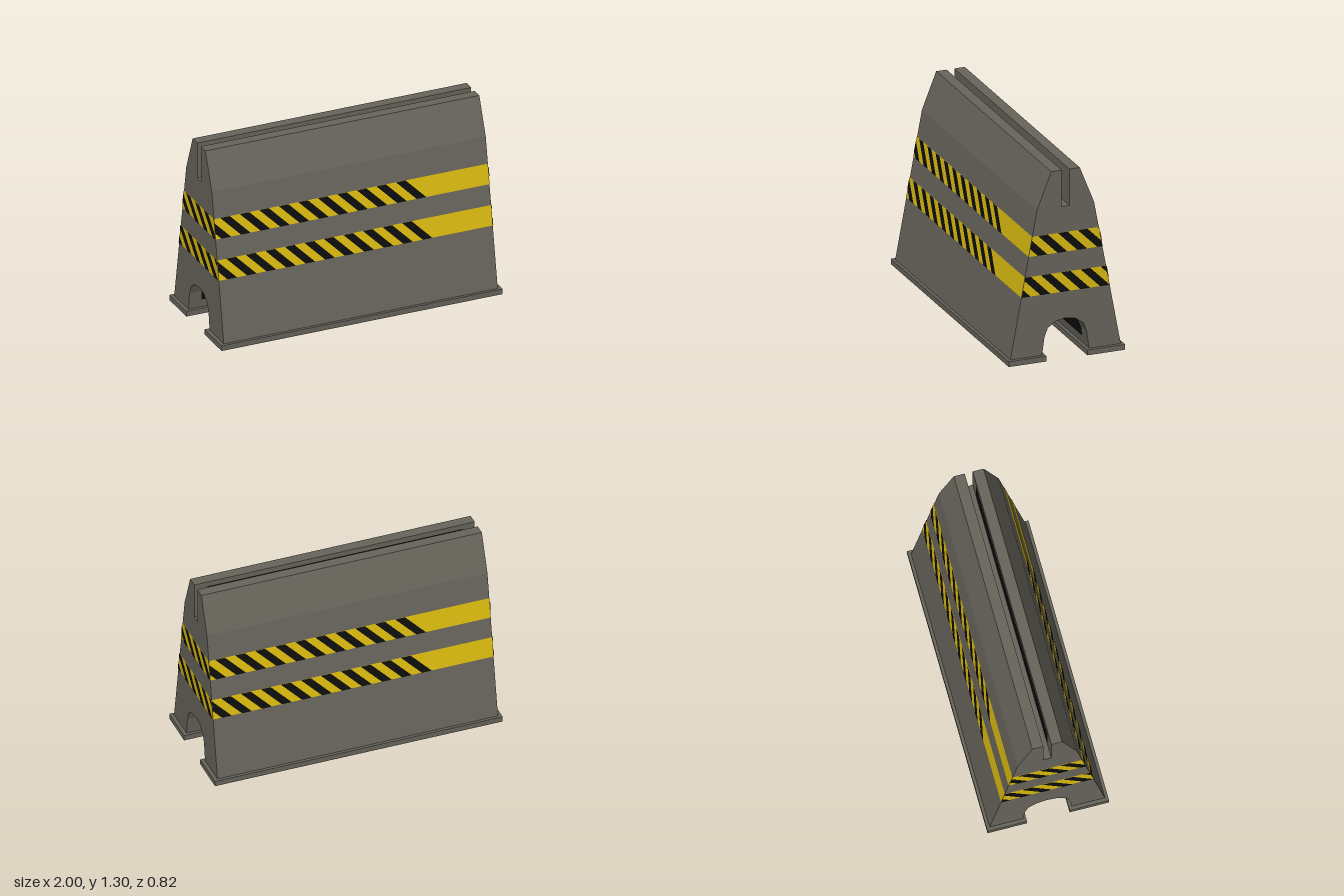
import * as THREE from 'three';

const HALF = 0.975, BAND_H = 0.137, PITCH = 0.139;
const ARCH = [[0.165, 0.037], [0.148, 0.16], [0.125, 0.22], [0.07, 0.26], [0, 0.273]];
// Half depth of the sloping body at height y
const depthAt = (y) => 0.387 - 0.1846 * (y - 0.037);

function makeMaterial(name, color, side = THREE.FrontSide) {
  const m = new THREE.MeshStandardMaterial({ color, side });
  m.name = name;
  return m;
}

// Keep the part of a polygon where f(point) >= 0
function clip(points, f) {
  const out = [];
  points.forEach((p, i) => {
    const q = points[(i + 1) % points.length], a = f(p), b = f(q);
    if (a >= 0) out.push(p);
    if (a * b < 0) out.push(p.clone().lerp(q, a / (a - b)));
  });
  return out;
}

// Flat band polygons: the yellow base and its slanted black stripes
function bandShapes(y0, halfWidth, phase) {
  const y1 = y0 + BAND_H, v = (x, y) => new THREE.Vector2(x, y);
  const base = [v(-halfWidth(y0), y0), v(halfWidth(y0), y0), v(halfWidth(y1), y1), v(-halfWidth(y1), y1)];
  const stripes = [];
  for (let k = -9; k <= 9; k++) {
    const a = phase + k * PITCH, w = PITCH * 0.49;
    let poly = [v(a + BAND_H, y0), v(a + BAND_H + w, y0), v(a + w, y1), v(a, y1)];
    poly = clip(poly, (p) => p.x + halfWidth(p.y));
    poly = clip(poly, (p) => halfWidth(p.y) - p.x);
    if (poly.length > 2) stripes.push(new THREE.Shape(poly));
  }
  return { base: new THREE.Shape(base), stripes };
}

// Lay a flat shape on a wall whose distance from the centre depends on y
function wallPlate(shapes, wallAt, lift) {
  const g = new THREE.ShapeGeometry(shapes);
  const p = g.attributes.position;
  for (let i = 0; i < p.count; i++) p.setZ(i, wallAt(p.getY(i)) + lift);
  g.computeVertexNormals();
  return g;
}

export function createModel() {
  const group = new THREE.Group();
  const grey = makeMaterial('concrete grey', 0x67645b);
  const yellow = makeMaterial('warning yellow', 0xd9b90f);
  const black = makeMaterial('black', 0x0d0d0c, THREE.DoubleSide);
  const add = (name, geometry, material, parent = group) => {
    const mesh = new THREE.Mesh(geometry, material);
    mesh.name = name;
    parent.add(mesh);
    return mesh;
  };

  // Body: slotted, tapering profile with an arched tunnel
  const half = [[0.027, 1.05], [0.027, 1.303], [0.1, 1.303], [0.2, 1.05], [0.387, 0.037], ...ARCH];
  const mirrored = half.slice(0, -1).reverse().map(([z, y]) => [-z, y]);
  const profile = new THREE.Shape([...half, ...mirrored].map(([z, y]) => new THREE.Vector2(z, y)));
  const body = new THREE.ExtrudeGeometry(profile, { depth: 2 * HALF, bevelEnabled: false });
  body.translate(0, 0, -HALF).rotateY(Math.PI / 2);
  add('body', body, grey);

  // Feet
  for (const s of [1, -1]) {
    const foot = add(s > 0 ? 'frontFoot' : 'backFoot', new THREE.BoxGeometry(2, 0.037, 0.265), grey);
    foot.position.set(0, 0.0185, s * 0.2755);
  }

  // Hazard bands on all four walls
  const walls = [
    { name: 'front', turn: 0, width: () => HALF, wall: depthAt, phase: -0.912 },
    { name: 'left', turn: Math.PI / 2, width: depthAt, wall: () => HALF, phase: -0.035 },
    { name: 'back', turn: Math.PI, width: () => HALF, wall: depthAt, phase: -0.912 },
    { name: 'right', turn: -Math.PI / 2, width: depthAt, wall: () => HALF, phase: -0.035 },
  ];
  for (const w of walls) {
    const side = new THREE.Group();
    side.name = w.name + 'HazardBands';
    side.rotation.y = w.turn;
    group.add(side);
    [0.458, 0.734].forEach((y0, i) => {
      const { base, stripes } = bandShapes(y0, w.width, w.phase - i * 0.02);
      add('yellowBand', wallPlate(base, w.wall, 0.002), yellow, side);
      add('blackStripes', wallPlate(stripes, w.wall, 0.004), black, side);
    });
  }

  // Dark lining of the tunnel, following the arch
  const right = [[0.156, 0.1], ...ARCH.slice(1)];
  const arch = [...right, ...right.slice(0, -1).reverse().map(([z, y]) => [-z, y])];
  const lining = new THREE.PlaneGeometry(1, 1, 1, arch.length - 1);
  const p = lining.attributes.position;
  for (let i = 0; i < p.count; i++) {
    const [z, y] = arch[Math.floor(i / 2)];
    p.setXYZ(i, i % 2 ? 0.89 : -0.89, y - 0.003, z * 0.975);
  }
  lining.computeVertexNormals();
  add('tunnelLining', lining, black);

  // Dark lining on one wall of the top slot
  const slot = add('slotLining', new THREE.PlaneGeometry(1.78, 0.19), black);
  slot.position.set(0, 1.175, 0.025);
  slot.rotation.y = Math.PI;

  return group;
}
